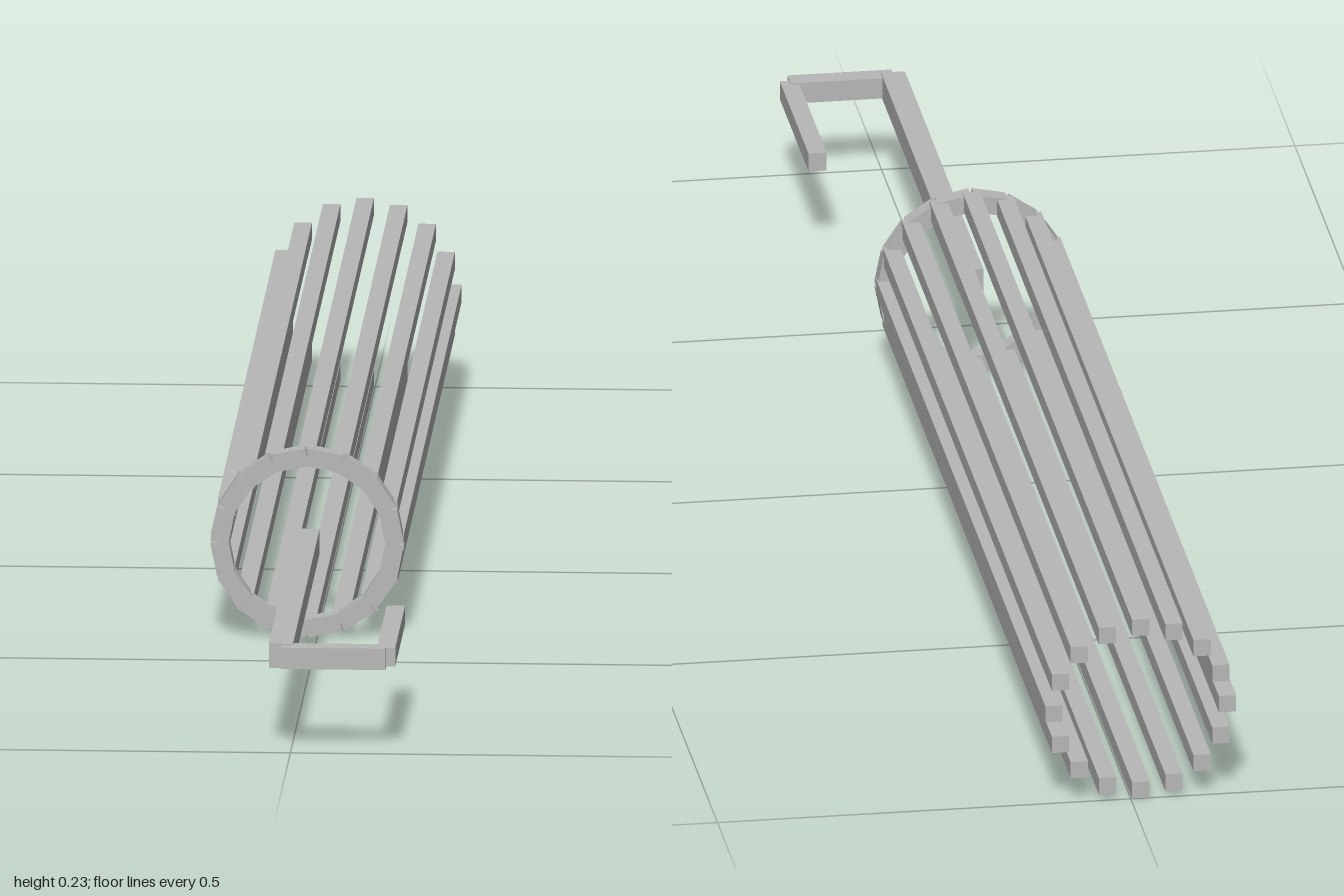
import * as THREE from 'three';

export function createModel() {
  const group = new THREE.Group();
  group.name = 'slattedTubeWithHook';
  const grey = new THREE.MeshStandardMaterial({ color: 0xb8b8b8 });
  grey.name = 'plain grey';

  const CX = -0.012, CY = 0.117, R = 0.105, COUNT = 16, T = 0.022;
  const RING_Z = 0.359, HOOK_Z = 0.987;

  // box spanning given sizes, centred at a point
  function bar(name, w, h, d, x, y, z, parent = group) {
    const mesh = new THREE.Mesh(new THREE.BoxGeometry(w, h, d), grey);
    mesh.name = name;
    mesh.position.set(x, y, z);
    parent.add(mesh);
    return mesh;
  }

  const slats = new THREE.Group();
  slats.name = 'slats';
  const ring = new THREE.Group();
  ring.name = 'frontRing';
  group.add(slats, ring);

  const step = (Math.PI * 2) / COUNT;
  const apothem = R * Math.cos(step / 2);
  const chord = 2 * R * Math.sin(step / 2);
  for (let i = 0; i < COUNT; i++) {
    // long square slat, kept upright
    const a = i * step;
    bar('slat', T - 0.001, T - 0.001, RING_Z + 1,
      CX + R * Math.cos(a), CY + R * Math.sin(a), (RING_Z - 1) / 2, slats);
    // straight ring segment between neighbouring slats
    const b = a + step / 2;
    bar('ringSegment', T, chord, T,
      CX + apothem * Math.cos(b), CY + apothem * Math.sin(b), RING_Z, ring).rotation.z = b;
  }

  // hook: rod, crossbar and return leg
  const LEG_X = 0.114, LEG_START = 0.757;
  bar('hookRod', 0.029, 0.03, HOOK_Z - RING_Z, CX, CY, (HOOK_Z + RING_Z) / 2);
  bar('hookCrossbar', LEG_X - CX, 0.026, 0.026, (LEG_X + CX) / 2, CY, HOOK_Z);
  bar('hookReturnLeg', 0.022, 0.023, HOOK_Z - LEG_START, LEG_X, CY, (HOOK_Z + LEG_START) / 2);

  return group;
}
